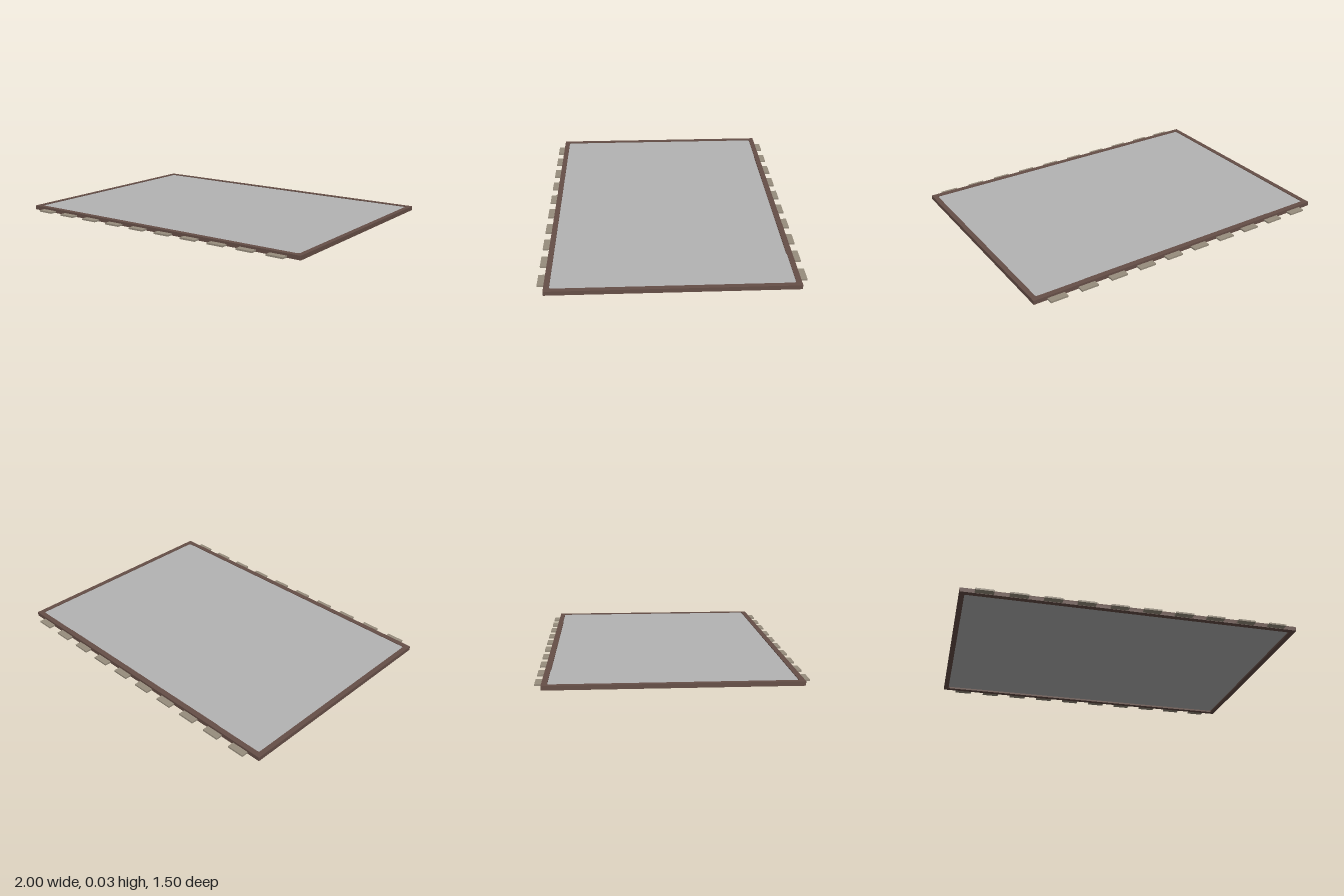
import * as THREE from 'three';

const material = (name, color, extra = {}) => {
  const m = new THREE.MeshStandardMaterial({ color, ...extra });
  m.name = name;
  return m;
};

// Rounded rectangle traced on a Shape or a Path
function roundedRect(path, w, d, r) {
  const x = w / 2, y = d / 2;
  path.moveTo(-x + r, -y);
  path.lineTo(x - r, -y);
  path.absarc(x - r, -y + r, r, -Math.PI / 2, 0);
  path.lineTo(x, y - r);
  path.absarc(x - r, y - r, r, 0, Math.PI / 2);
  path.lineTo(-x + r, y);
  path.absarc(-x + r, y - r, r, Math.PI / 2, Math.PI);
  path.lineTo(-x, -y + r);
  path.absarc(-x + r, -y + r, r, Math.PI, Math.PI * 1.5);
  return path;
}

export function createModel() {
  const group = new THREE.Group();
  const brown = material('frame brown', 0x664f47);
  const grey = material('panel grey', 0xb3b3b3);
  const tan = material('tab tan', 0x978d7d);

  const add = (name, geometry, mat, x = 0, y = 0, z = 0) => {
    const mesh = new THREE.Mesh(geometry, mat);
    mesh.name = name;
    mesh.position.set(x, y, z);
    group.add(mesh);
    return mesh;
  };

  // Extrudes a plan outline upward
  const slab = (shape, height) =>
    new THREE.ExtrudeGeometry(shape, { depth: height, bevelEnabled: false, curveSegments: 5 })
      .rotateX(-Math.PI / 2);

  // Rectangular frame with a softly rounded opening
  const outline = roundedRect(new THREE.Shape(), 2, 1.416, 0.003);
  outline.holes.push(roundedRect(new THREE.Path(), 1.94, 1.352, 0.012));
  add('frame', slab(outline, 0.025), brown);

  // Flat panel set a little below the rim
  add('panel', slab(roundedRect(new THREE.Shape(), 1.942, 1.354, 0.012), 0.01), grey, 0, 0.011, 0);

  // Thin lip along the back of the opening
  add('backLip', new THREE.BoxGeometry(1.33, 0.003, 0.006), brown, 0, 0.0225, -0.676);

  // Ten tabs along the front and back edges
  const tab = new THREE.BoxGeometry(0.106, 0.01, 0.05);
  for (const side of [-1, 1]) {
    for (let i = 0; i < 10; i++) {
      add(side > 0 ? 'frontTab' : 'backTab', tab, tan, (i - 4.5) * 0.192, 0.007, side * 0.723);
    }
  }
  return group;
}
